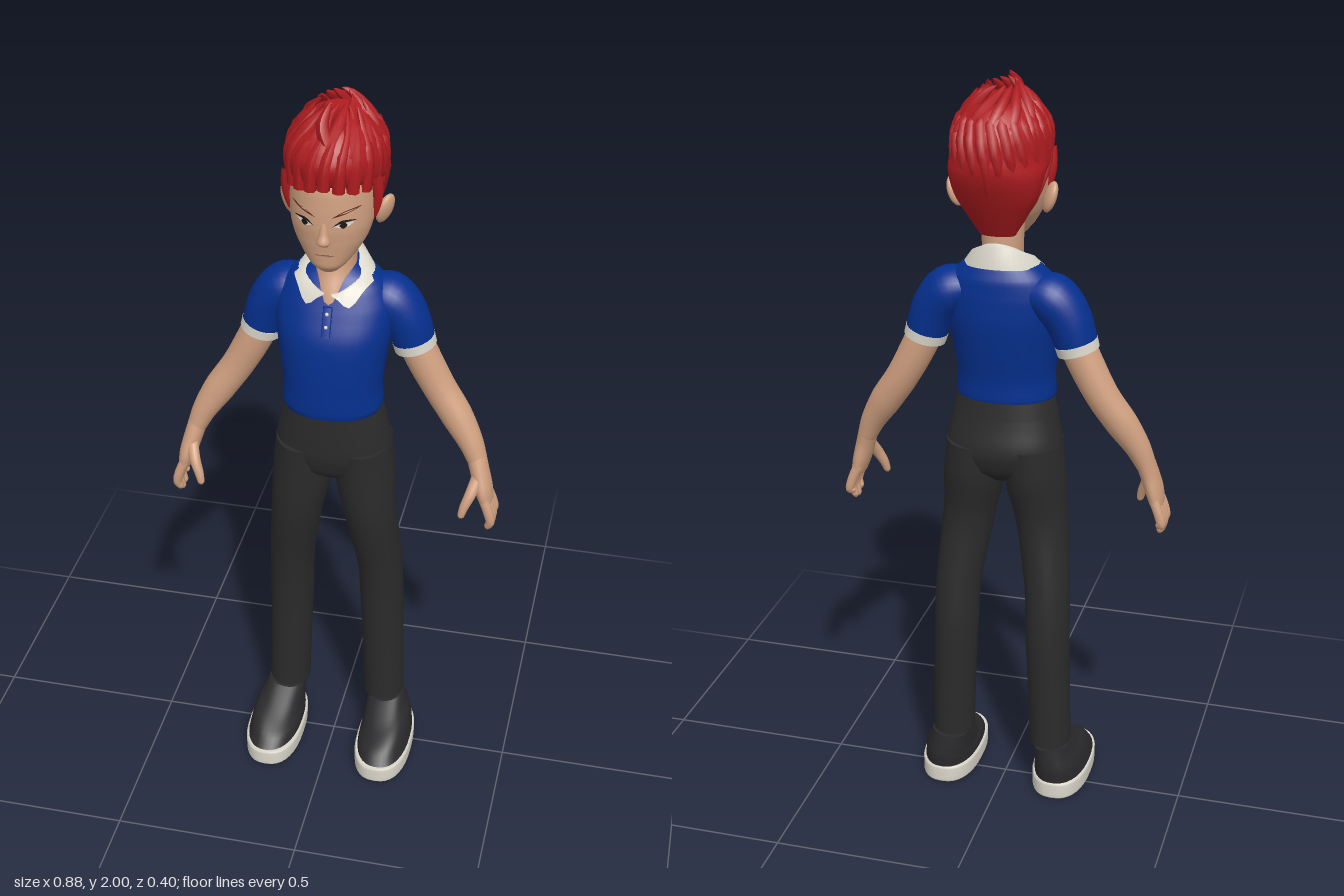
import * as THREE from 'three';
import { mergeGeometries } from 'three/addons/utils/BufferGeometryUtils.js';

const flat = (name, color) => Object.assign(new THREE.MeshStandardMaterial({ color }), { name });
const V = (x, y, z) => new THREE.Vector3(x, y, z);

// Smooth skin over oval rings. Each ring: [x, y, z, radius across, radius in z].
function loft(rings, seg = 28, steps = 5, power = 2) {
  const path = new THREE.CatmullRomCurve3(rings.map(r => V(r[0], r[1], r[2])));
  const size = new THREE.CatmullRomCurve3(rings.map(r => V(r[3], r[4], 0)));
  const n = (rings.length - 1) * steps, pos = [], idx = [];
  const ring = (t, k) => {
    const c = path.getPoint(t), r = size.getPoint(t), d = path.getTangent(t);
    const len = Math.hypot(d.x, d.y) || 1;
    for (let j = 0; j < seg; j++) {
      const a = (j / seg) * Math.PI * 2, ca = Math.cos(a), sa = Math.sin(a);
      const u = k * r.x * Math.sign(ca) * Math.abs(ca) ** (2 / power);
      const v = k * r.y * Math.sign(sa) * Math.abs(sa) ** (2 / power);
      pos.push(c.x + u * d.y / len, c.y - u * d.x / len, c.z + v);
    }
  };
  ring(0, 0); ring(0, 1);
  for (let i = 0; i <= n; i++) ring(i / n, 1);
  ring(1, 1); ring(1, 0);
  for (let i = 0; i < n + 4; i++) {
    if (i === 1 || i === n + 2) continue; // keeps the end caps crisp
    for (let j = 0; j < seg; j++) {
      const a = i * seg + j, b = i * seg + (j + 1) % seg;
      idx.push(a, a + seg, b, b, a + seg, b + seg);
    }
  }
  const g = new THREE.BufferGeometry();
  g.setAttribute('position', new THREE.Float32BufferAttribute(pos, 3));
  g.setIndex(idx);
  g.computeVertexNormals();
  return g;
}

// Curved tuft of hair that tapers to a point.
function lock(points, radius) {
  const curve = new THREE.CatmullRomCurve3(points);
  const g = new THREE.TubeGeometry(curve, 10, radius, 7);
  const p = g.attributes.position, v = V(0, 0, 0);
  for (let i = 0; i < p.count; i++) {
    const t = Math.floor(i / 8) / 10, c = curve.getPointAt(t);
    v.fromBufferAttribute(p, i).sub(c).multiplyScalar((0.65 + 0.6 * t) * (1 - t) ** 0.7).add(c);
    p.setXYZ(i, v.x, v.y, v.z);
  }
  g.computeVertexNormals();
  return g;
}

const HEAD = [
  [0, 1.575, 0.052, 0.026, 0.032], [0, 1.595, 0.055, 0.045, 0.05], [0, 1.62, 0.04, 0.066, 0.07],
  [0, 1.66, 0.025, 0.09, 0.09], [0, 1.70, 0.015, 0.102, 0.105], [0, 1.75, 0, 0.107, 0.12],
  [0, 1.80, -0.01, 0.107, 0.125], [0, 1.85, -0.02, 0.094, 0.112], [0, 1.89, -0.02, 0.055, 0.07],
];
// Depth of the face surface at a point
function faceZ(x, y) {
  const i = Math.max(1, HEAD.findIndex(r => r[1] >= y)), a = HEAD[i - 1], b = HEAD[i];
  const mix = k => THREE.MathUtils.lerp(a[k], b[k], (y - a[1]) / (b[1] - a[1]));
  return mix(2) + mix(4) * Math.sqrt(Math.max(0, 1 - (x / mix(3)) ** 2));
}
// Thin face detail laid onto the head
function decal(points, lift) {
  const shape = new THREE.Shape(new THREE.SplineCurve(points.map(p => new THREE.Vector2(...p))).getPoints(16));
  const g = new THREE.ShapeGeometry(shape), p = g.attributes.position;
  for (let i = 0; i < p.count; i++) p.setZ(i, faceZ(p.getX(i), p.getY(i)) + lift);
  g.computeVertexNormals();
  return g;
}

export function createModel() {
  const root = new THREE.Group();
  const skin = flat('skin', 0xd0a080), red = flat('hair red', 0xb01c20), blue = flat('shirt blue', 0x05308f);
  const white = flat('off white', 0xdad6ca), pants = flat('trouser charcoal', 0x2b2b2b);
  const canvas = flat('shoe black', 0x2a2a2c), ink = flat('eye dark', 0x1c1614);
  const brow = flat('brow brown', 0x5a2a1e), lip = flat('lip', 0x9c6a54);
  white.side = THREE.DoubleSide;
  const add = (name, g, m) => {
    const mesh = new THREE.Mesh(g, m);
    mesh.name = name;
    root.add(mesh);
    return mesh;
  };

  // Head, neck and nose
  add('head', loft(HEAD, 36), skin);
  add('neck', loft([[0, 1.455, 0.012, 0.045, 0.062], [0, 1.5, -0.005, 0.052, 0.065],
    [0, 1.56, -0.025, 0.052, 0.06], [0, 1.65, -0.025, 0.055, 0.06]]), skin);
  add('nose', loft([[0, 1.735, 0.112, 0.008, 0.006], [0, 1.695, 0.116, 0.011, 0.012],
    [0, 1.673, 0.118, 0.017, 0.018], [0, 1.66, 0.112, 0.01, 0.006]], 14), skin);
  add('mouth', decal([[-0.026, 1.634], [0, 1.638], [0.026, 1.634], [0, 1.632], [-0.026, 1.634]], 0.003), lip);

  // Shirt
  add('shirtBody', loft([[0, 1.158, 0.012, 0.126, 0.1], [0, 1.175, 0.012, 0.131, 0.104], [0, 1.22, 0.012, 0.128, 0.105],
    [0, 1.3, 0.005, 0.136, 0.112], [0, 1.38, -0.005, 0.148, 0.114], [0, 1.45, -0.02, 0.15, 0.1],
    [0, 1.5, -0.03, 0.13, 0.086], [0, 1.53, -0.035, 0.1, 0.07], [0, 1.55, -0.04, 0.06, 0.055]], 36, 5, 2.2), blue);
  add('placket', loft([[0, 1.40, 0.101, 0.012, 0.006], [0, 1.43, 0.089, 0.012, 0.006],
    [0, 1.47, 0.071, 0.012, 0.006]], 12, 4, 4), blue);
  for (const [y, z] of [[1.455, 0.084], [1.425, 0.097]])
    add('button', new THREE.SphereGeometry(0.005, 10, 8), white).position.set(0, y, z);

  // Collar: a folded strip open at the front with two points
  const strip = [], faces = [], N = 40;
  for (let i = 0; i <= N; i++) {
    const a = THREE.MathUtils.lerp(0.1, Math.PI * 2 - 0.1, i / N), s = Math.sin(a), c = Math.cos(a);
    const tip = Math.exp(-(((Math.min(a, Math.PI * 2 - a) - 0.55) / 0.3) ** 2));
    strip.push(s * 0.058, 1.548 - 0.048 * c, -0.016 + c * 0.076);
    strip.push(s * 0.08, 1.548 - 0.04 * c, -0.016 + c * 0.088);
    strip.push(s * 0.104, 1.522 - 0.012 * c - 0.036 * tip, -0.018 + c * 0.096 + 0.014 * tip);
    if (i < N) for (let k = 0; k < 2; k++) {
      const q = i * 3 + k;
      faces.push(q, q + 1, q + 3, q + 1, q + 4, q + 3);
    }
  }
  const collar = new THREE.BufferGeometry();
  collar.setAttribute('position', new THREE.Float32BufferAttribute(strip, 3));
  collar.setIndex(faces);
  collar.computeVertexNormals();
  add('collar', collar, white);

  // Trouser seat and waistband
  add('trouserHips', loft([[0, 0.935, -0.005, 0.05, 0.05], [0, 0.97, -0.006, 0.13, 0.09], [0, 1.03, -0.007, 0.155, 0.107],
    [0, 1.1, 0, 0.142, 0.101], [0, 1.165, 0.005, 0.124, 0.095]], 36, 5, 2.2), pants);
  add('waistband', loft([[0, 1.122, 0.003, 0.139, 0.102], [0, 1.168, 0.006, 0.127, 0.099]], 36, 2, 2.2), pants);

  for (const s of [1, -1]) {
    const side = s > 0 ? 'left' : 'right';
    const limb = (name, rings, m, ...opt) => add(side + name, loft(rings.map(r => [r[0] * s, ...r.slice(1)]), ...opt), m);
    const mark = (name, pts, lift, m) => add(side + name, decal(pts.map(p => [p[0] * s, p[1]]), lift), m);

    // Eye, lash line, brow and ear
    mark('Eye', [[0.026, 1.718], [0.045, 1.73], [0.07, 1.727], [0.05, 1.714], [0.026, 1.718]], 0.003, white);
    mark('Iris', [[0.038, 1.721], [0.047, 1.731], [0.056, 1.721], [0.047, 1.713], [0.038, 1.721]], 0.005, ink);
    mark('Lash', [[0.023, 1.719], [0.045, 1.735], [0.075, 1.731], [0.045, 1.728], [0.023, 1.719]], 0.006, ink);
    mark('Brow', [[0.02, 1.741], [0.05, 1.757], [0.085, 1.762], [0.05, 1.749], [0.02, 1.741]], 0.004, brow);
    const ear = add(side + 'Ear', new THREE.SphereGeometry(1, 18, 14), skin);
    ear.scale.set(0.015, 0.041, 0.027);
    ear.position.set(0.121 * s, 1.706, -0.027);
    ear.rotation.set(-0.15, -0.45 * s, -0.35 * s);

    // Sleeve and cuff
    limb('Sleeve', [[0.08, 1.468, -0.045, 0.045, 0.055], [0.135, 1.45, -0.045, 0.064, 0.07],
      [0.172, 1.405, -0.045, 0.061, 0.065], [0.2, 1.33, -0.045, 0.054, 0.057]], blue);
    limb('SleeveCuff', [[0.196, 1.341, -0.045, 0.056, 0.059], [0.203, 1.317, -0.045, 0.055, 0.058]], white);

    // Arm, palm, fingers and thumb
    limb('Arm', [[0.18, 1.38, -0.045, 0.045, 0.046], [0.215, 1.3, -0.046, 0.046, 0.047], [0.268, 1.2, -0.045, 0.043, 0.044],
      [0.315, 1.13, -0.036, 0.042, 0.042], [0.358, 1.06, -0.023, 0.033, 0.036], [0.38, 1.01, -0.015, 0.026, 0.032]], skin, 24);
    limb('Palm', [[0.374, 1.03, -0.018, 0.026, 0.032], [0.389, 0.98, -0.006, 0.025, 0.037],
      [0.402, 0.935, 0, 0.023, 0.045], [0.411, 0.9, 0, 0.018, 0.043], [0.414, 0.89, 0, 0.01, 0.035]], skin, 20);
    [[-0.035, 0.838], [-0.012, 0.817], [0.012, 0.812], [0.035, 0.825]].forEach(([z, end], i) =>
      limb('Finger' + (i + 1), [[0.405, 0.92, z * 0.9, 0.013, 0.012], [0.421, 0.88, z, 0.013, 0.0125],
        [0.428, 0.85, z, 0.012, 0.0115], [0.422, end + 0.008, z * 0.9, 0.01, 0.0095], [0.42, end, z * 0.9, 0.004, 0.004]], skin, 12, 4));
    limb('Thumb', [[0.387, 0.975, 0.015, 0.017, 0.018], [0.373, 0.935, 0.042, 0.015, 0.016],
      [0.359, 0.9, 0.055, 0.012, 0.013], [0.353, 0.876, 0.06, 0.009, 0.009], [0.352, 0.87, 0.06, 0.004, 0.004]], skin, 12, 4);

    // Trouser leg and ankle
    limb('TrouserLeg', [[0.078, 1.04, -0.006, 0.076, 0.104], [0.083, 0.95, -0.006, 0.081, 0.098],
      [0.1, 0.82, 0.002, 0.07, 0.082], [0.124, 0.62, -0.028, 0.061, 0.071], [0.128, 0.5, -0.039, 0.06, 0.07],
      [0.134, 0.33, -0.041, 0.058, 0.064], [0.139, 0.157, -0.04, 0.057, 0.061]], pants);
    limb('Ankle', [[0.143, 0.11, -0.042, 0.037, 0.042], [0.14, 0.2, -0.04, 0.038, 0.042]], skin, 20, 2);

    // Shoe
    limb('ShoeSole', [[0.16, 0, 0.045, 0.073, 0.149], [0.16, 0.006, 0.045, 0.078, 0.154],
      [0.16, 0.043, 0.045, 0.079, 0.154], [0.16, 0.05, 0.045, 0.075, 0.151]], white, 36, 3, 2.5);
    limb('ShoeUpper', [[0.16, 0.045, 0.045, 0.074, 0.15], [0.158, 0.08, 0.024, 0.069, 0.132],
      [0.152, 0.112, -0.008, 0.059, 0.097], [0.147, 0.148, -0.04, 0.05, 0.06]], canvas, 36, 5, 2.3);
  }

  // Hair mass
  add('hairMass', loft([[0, 1.615, -0.075, 0.045, 0.022], [0, 1.66, -0.08, 0.073, 0.045], [0, 1.72, -0.092, 0.105, 0.067],
    [0, 1.775, -0.085, 0.12, 0.1], [0, 1.815, -0.04, 0.125, 0.152], [0, 1.86, -0.03, 0.122, 0.16],
    [0, 1.905, -0.03, 0.107, 0.142], [0, 1.94, -0.03, 0.075, 0.105], [0, 1.955, -0.03, 0.035, 0.05]], 36), red);

  // Hair tufts, placed by azimuth and elevation around the skull
  let seed = 7;
  const rnd = () => (seed = (seed * 16807) % 2147483647) / 2147483647;
  const at = (az, el, k) => {
    const a = THREE.MathUtils.degToRad(az), e = THREE.MathUtils.degToRad(el);
    return V(0.114 * k * Math.cos(e) * Math.sin(a), Math.min(1.99, 1.83 + 0.122 * k * Math.sin(e)), -0.03 + 0.155 * k * Math.cos(e) * Math.cos(a));
  };
  const tufts = [];
  for (let az = -126; az <= 126; az += 18) { // swept up from the hairline
    const low = -8 - 18 * Math.min(1, Math.abs(az) / 90), w = 12 + 18 * rnd();
    tufts.push(lock([at(az, low, 0.99), at(az + 3, 22, 1.03), at(az + w * 0.5, 48, 1.06), at(az + w, 64 + 10 * rnd(), 1.2 + 0.1 * rnd())], 0.025));
  }
  for (let az = 0; az < 360; az += 30) { // crown swirl
    tufts.push(lock([at(az, 25, 0.98), at(az + 12, 50, 1.05), at(az + 35, 70, 1.15 + 0.1 * rnd()), at(az + 60, 76, 1.28 + 0.08 * rnd())], 0.027));
  }
  for (let az = 90; az <= 270; az += 15) { // falling to the nape
    const x = Math.sin(THREE.MathUtils.degToRad(az)), back = 1 - Math.abs(x);
    tufts.push(lock([at(az - 25, 62, 0.98), at(az - 10, 30, 1.04), at(az, -8, 1.01),
      V(x * 0.095, 1.715, -0.08 - 0.065 * back), V(x * 0.06, 1.625 + 0.03 * rnd(), -0.06 - 0.035 * back)], 0.024));
  }
  for (const s of [1, -1]) // sideburns
    tufts.push(lock([V(0.108 * s, 1.82, 0.03), V(0.112 * s, 1.77, 0.025), V(0.104 * s, 1.70, 0.02)], 0.022));
  tufts.push(lock([V(0.01, 1.9, 0.09), V(-0.012, 1.95, 0.075), V(0, 2, 0.035)], 0.026));
  add('hairTufts', mergeGeometries(tufts), red);
  return root;
}
